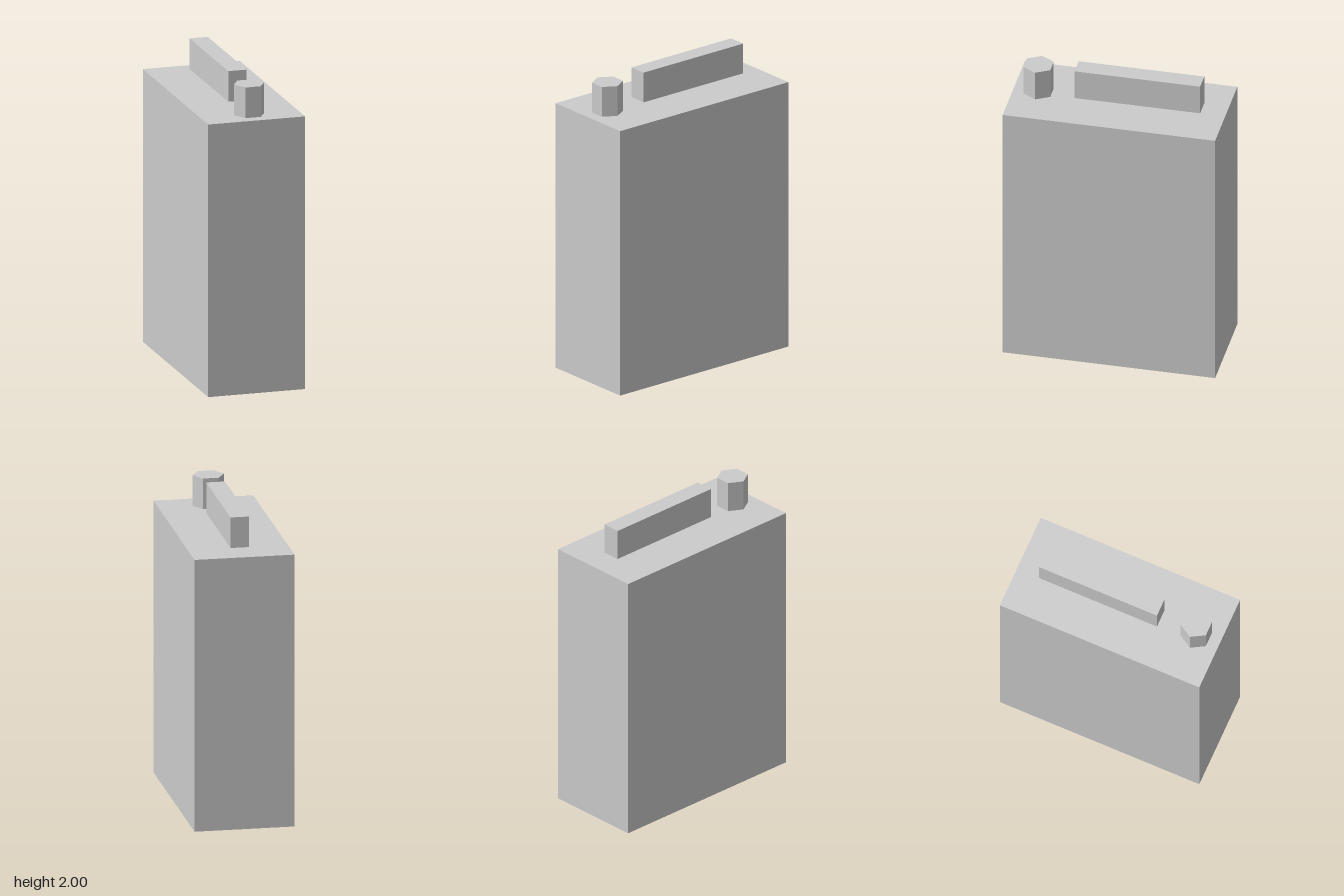
import * as THREE from 'three';

export function createModel() {
  const model = new THREE.Group();
  const material = new THREE.MeshStandardMaterial({ color: 0xcccccc, flatShading: true });

  const add = (name, geometry, x, y, z) => {
    const mesh = new THREE.Mesh(geometry, material);
    mesh.name = name;
    mesh.position.set(x, y, z);
    model.add(mesh);
    return mesh;
  };

  const bodyHeight = 1.78;

  // Tall rectangular can
  add('body', new THREE.BoxGeometry(0.64, bodyHeight, 1.37), 0, bodyHeight / 2, 0);

  // Grip bar, hovering just above the top face
  add('handle', new THREE.BoxGeometry(0.12, 0.2, 0.81), 0, 1.9, -0.125);

  // Six-sided cap near the front, with corners pointing left and right
  const capHeight = 0.2;
  const cap = add('cap', new THREE.CylinderGeometry(0.1, 0.1, capHeight, 6), 0, bodyHeight + capHeight / 2, 0.525);
  cap.rotation.y = Math.PI / 2;

  return model;
}
